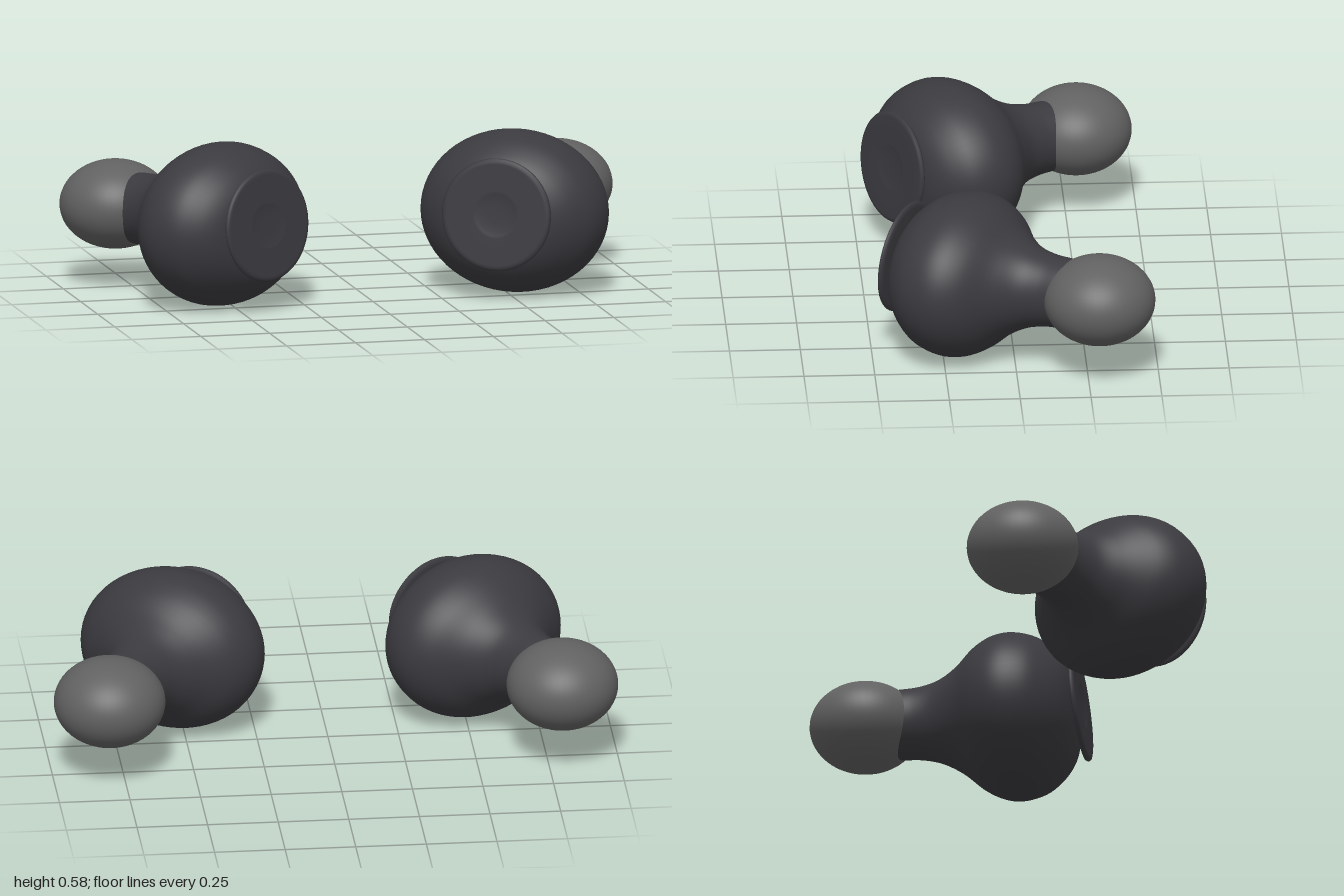
import * as THREE from 'three';
import { mergeVertices } from 'three/addons/utils/BufferGeometryUtils.js';

const shell = new THREE.MeshStandardMaterial({ color: 0x3b3a3f });
shell.name = 'charcoal shell';
const silicone = new THREE.MeshStandardMaterial({ color: 0x616161 });
silicone.name = 'grey silicone';

// Body cross-sections along the bud's axis: [position, half width, half height]
const SECTIONS = [
  [-0.222, 0, 0], [-0.216, 0.08, 0.07], [-0.205, 0.15, 0.13], [-0.185, 0.21, 0.18],
  [-0.145, 0.267, 0.228], [-0.08, 0.318, 0.272], [0, 0.338, 0.29], [0.06, 0.33, 0.282],
  [0.125, 0.292, 0.25], [0.205, 0.2, 0.185], [0.28, 0.138, 0.147], [0.35, 0.118, 0.131],
  [0.41, 0.117, 0.127], [0.46, 0.115, 0.125], [0.461, 0, 0],
];

// Ball-shaped shell flowing into a narrow neck
function bodyGeometry() {
  const curve = new THREE.CatmullRomCurve3(
    SECTIONS.slice(0, -1).map(([s, w, h]) => new THREE.Vector3(w, s, h)), false, 'centripetal');
  const rings = curve.getPoints(64);
  rings.push(new THREE.Vector3(0, 0.461, 0));
  const segments = 64;
  let geo = new THREE.LatheGeometry(
    rings.map((p) => new THREE.Vector2(Math.max(p.x, 0), p.y)), segments);
  // Change the depth of each ring to its own half height
  const pos = geo.attributes.position;
  for (let i = 0; i < pos.count; i++) {
    const ring = rings[i % rings.length];
    if (ring.x > 1e-5) pos.setZ(i, pos.getZ(i) * ring.z / ring.x);
  }
  geo.deleteAttribute('uv');
  geo.deleteAttribute('normal');
  geo = mergeVertices(geo, 1e-5);
  geo.computeVertexNormals();
  return geo.rotateX(-Math.PI / 2);
}

// Thin round touch plate with a shallow dimple
function plateGeometry() {
  const profile = [
    [0, -0.01], [0.18, -0.01], [0.195, -0.007], [0.2, 0], [0.196, 0.007], [0.188, 0.01],
    [0.18, 0.0105], [0.085, 0.0105], [0.075, 0.0095], [0.06, 0.007], [0.03, 0.006], [0, 0.006],
  ].map(([r, y]) => new THREE.Vector2(r, y));
  return new THREE.LatheGeometry(profile, 64).rotateX(Math.PI / 2);
}

function addPart(parent, name, geometry, material, x, y, z) {
  const mesh = new THREE.Mesh(geometry, material);
  mesh.name = name;
  mesh.position.set(x, y, z);
  parent.add(mesh);
  return mesh;
}

export function createModel() {
  const model = new THREE.Group();
  model.name = 'earbuds';
  const body = bodyGeometry();
  const plate = plateGeometry();
  const tip = new THREE.SphereGeometry(0.197, 48, 32).scale(1, 0.802, 1);

  // One bud per side, with its axis turned 30 degrees outward
  for (const side of [1, -1]) {
    const bud = new THREE.Group();
    bud.name = side > 0 ? 'leftEarbud' : 'rightEarbud';
    bud.position.set(side * 0.53, 0.2925, 0.18);
    bud.rotation.y = -side * Math.PI / 6;
    addPart(bud, 'body', body, shell, 0, 0, 0);
    addPart(bud, 'touchPlate', plate, shell, 0, 0.025, 0.226).rotation.x = -0.08;
    addPart(bud, 'earTip', tip, silicone, 0, 0, -0.543);
    model.add(bud);
  }
  return model;
}
